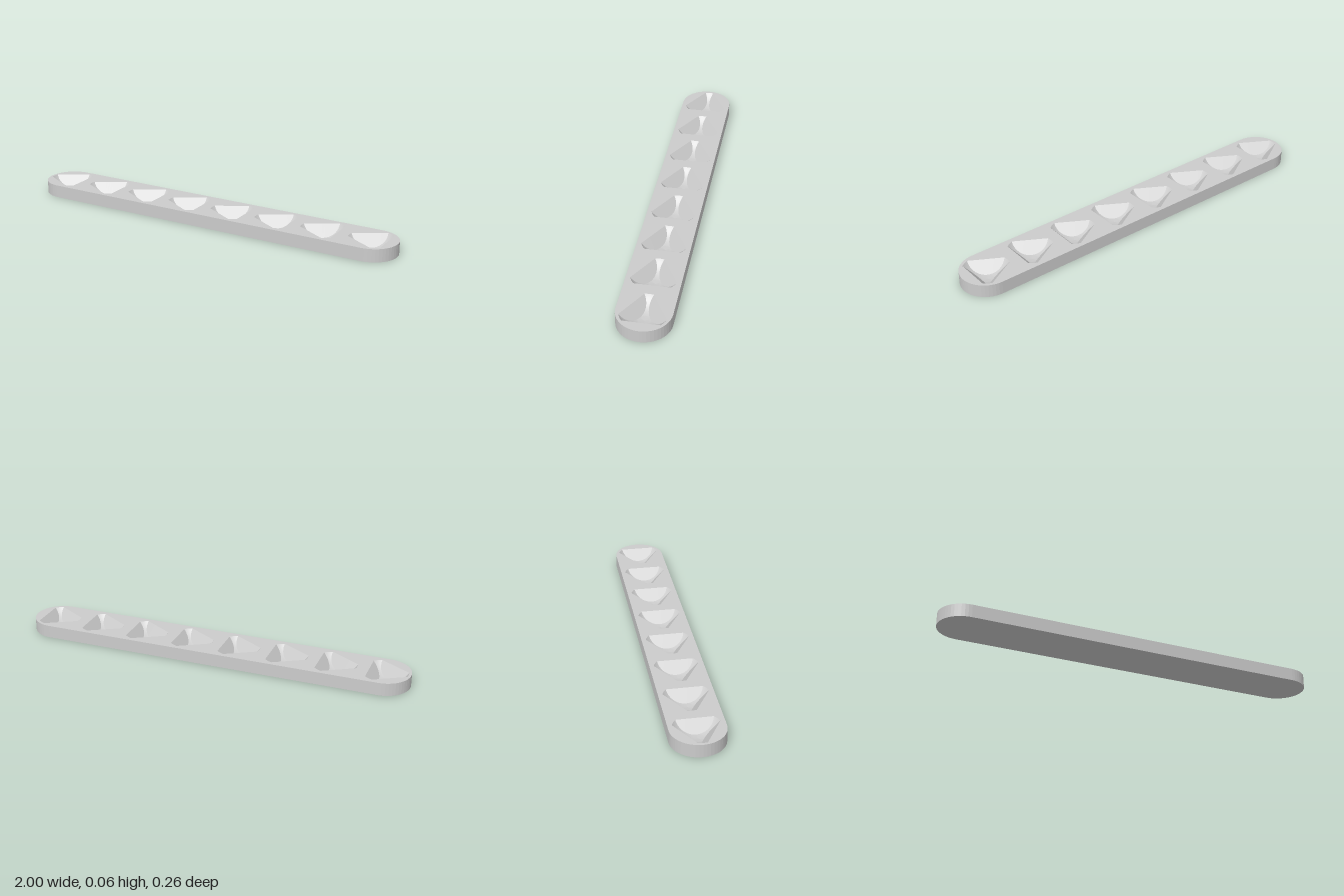
import * as THREE from 'three';

const END_R = 0.13, HALF = 1 - END_R, HEIGHT = 0.065;          // bar
const COUNT = 8, PITCH = 0.249;                                // pockets
const RIM = 0.115, WALL = 0.0755, DEPTH = 0.058, SLOPE = 1.15; // one pocket
const SPHERE = (RIM * RIM + DEPTH * DEPTH) / (2 * DEPTH);
const HALF_ANGLE = Math.acos(WALL / RIM);                      // half the angle one wall spans
const HALF_CHORD = RIM * Math.sin(HALF_ANGLE);
const STEPS = 10, ACROSS = 6, THIRD = Math.PI * 2 / 3;

const bowlDepth = r => Math.sqrt(Math.max(SPHERE * SPHERE - r * r, 0)) - (SPHERE - DEPTH);

// Point where the flat wall runs into the round bowl, i from -STEPS to STEPS
function creasePoint(i) {
  const z = HALF_CHORD * Math.sin(i / STEPS * Math.PI / 2);
  let lo = 0, hi = WALL;
  for (let n = 0; n < 40; n++) {
    const x = (lo + hi) / 2;
    if ((WALL - x) * SLOPE > bowlDepth(Math.hypot(x, z))) lo = x; else hi = x;
  }
  return [hi, HEIGHT - (WALL - hi) * SLOPE, z];
}

function makeGeometry(positions, index) {
  const g = new THREE.BufferGeometry();
  g.setAttribute('position', new THREE.Float32BufferAttribute(positions, 3));
  if (index) g.setIndex(index);
  g.computeVertexNormals();
  return g;
}

// One arm of the round bowl: ribs across the gap between two walls
function armGeometry() {
  const pos = [0, HEIGHT - DEPTH, 0], index = [], row = ACROSS + 1;
  for (let i = 0; i <= STEPS; i++) {
    const [x, , z] = creasePoint(i);
    const r = Math.hypot(x, z), start = Math.atan2(z, x);
    for (let j = 0; j <= ACROSS; j++) {
      const a = start + (THIRD - 2 * start) * j / ACROSS;
      pos.push(r * Math.cos(a), HEIGHT - bowlDepth(r), r * Math.sin(a));
    }
  }
  for (let j = 0; j < ACROSS; j++) {
    index.push(0, j + 2, j + 1);
    for (let i = 0; i < STEPS; i++) {
      const p = 1 + i * row + j;
      index.push(p, p + 1, p + row + 1, p, p + row + 1, p + row);
    }
  }
  return makeGeometry(pos, index);
}

// Flat sloping wall with a curved lower edge
function wallGeometry() {
  const pos = [];
  for (let i = -STEPS; i < STEPS; i++) {
    const a = creasePoint(i), b = creasePoint(i + 1);
    const aTop = [WALL, HEIGHT, a[2]], bTop = [WALL, HEIGHT, b[2]];
    pos.push(...a, ...b, ...bTop, ...a, ...bTop, ...aTop);
  }
  return makeGeometry(pos);
}

// Bar outline with round ends
function barShape() {
  const s = new THREE.Shape();
  s.absarc(HALF, 0, END_R, -Math.PI / 2, Math.PI / 2, false);
  s.absarc(-HALF, 0, END_R, Math.PI / 2, Math.PI * 1.5, false);
  s.closePath();
  return s;
}

// Pocket opening: three long straight edges and three short corners
function pocketHole(cx) {
  const points = [];
  for (let w = 0; w < 3; w++) {
    for (let j = 0; j <= ACROSS; j++) {
      const a = w * THIRD + HALF_ANGLE + (THIRD - 2 * HALF_ANGLE) * j / ACROSS;
      points.push(new THREE.Vector2(cx + RIM * Math.cos(a), RIM * Math.sin(a)));
    }
  }
  return new THREE.Path(points);
}

export function createModel() {
  const model = new THREE.Group();
  model.name = 'pocketBar';
  const material = new THREE.MeshStandardMaterial({ color: 0xcccccc });
  const add = (parent, name, geometry) => {
    const mesh = new THREE.Mesh(geometry, material);
    mesh.name = name;
    parent.add(mesh);
    return mesh;
  };
  const centres = Array.from({ length: COUNT }, (_, i) => (i - (COUNT - 1) / 2) * PITCH);

  // Top and underside
  const top = barShape();
  top.holes = centres.map(pocketHole);
  add(model, 'topFace', new THREE.ShapeGeometry(top, 12).rotateX(-Math.PI / 2).translate(0, HEIGHT, 0));
  add(model, 'underside', new THREE.ShapeGeometry(barShape(), 12).rotateX(Math.PI / 2));

  // Upright rim, faceted at the ends
  const outline = barShape().getPoints(12), rim = [];
  outline.forEach((p, i) => {
    const q = outline[(i + 1) % outline.length];
    if (p.distanceTo(q) < 1e-6) return;
    rim.push(p.x, 0, -p.y, q.x, 0, -q.y, q.x, HEIGHT, -q.y);
    rim.push(p.x, 0, -p.y, q.x, HEIGHT, -q.y, p.x, HEIGHT, -p.y);
  });
  add(model, 'sideRim', makeGeometry(rim));

  // Row of pockets, each with three walls and three bowl arms
  const arm = armGeometry(), wall = wallGeometry();
  for (const x of centres) {
    const pocket = new THREE.Group();
    pocket.name = 'pocket';
    pocket.position.x = x;
    for (let w = 0; w < 3; w++) {
      add(pocket, 'pocketBowlArm', arm).rotation.y = w * THIRD;
      add(pocket, 'pocketWall', wall).rotation.y = w * THIRD;
    }
    model.add(pocket);
  }
  return model;
}
